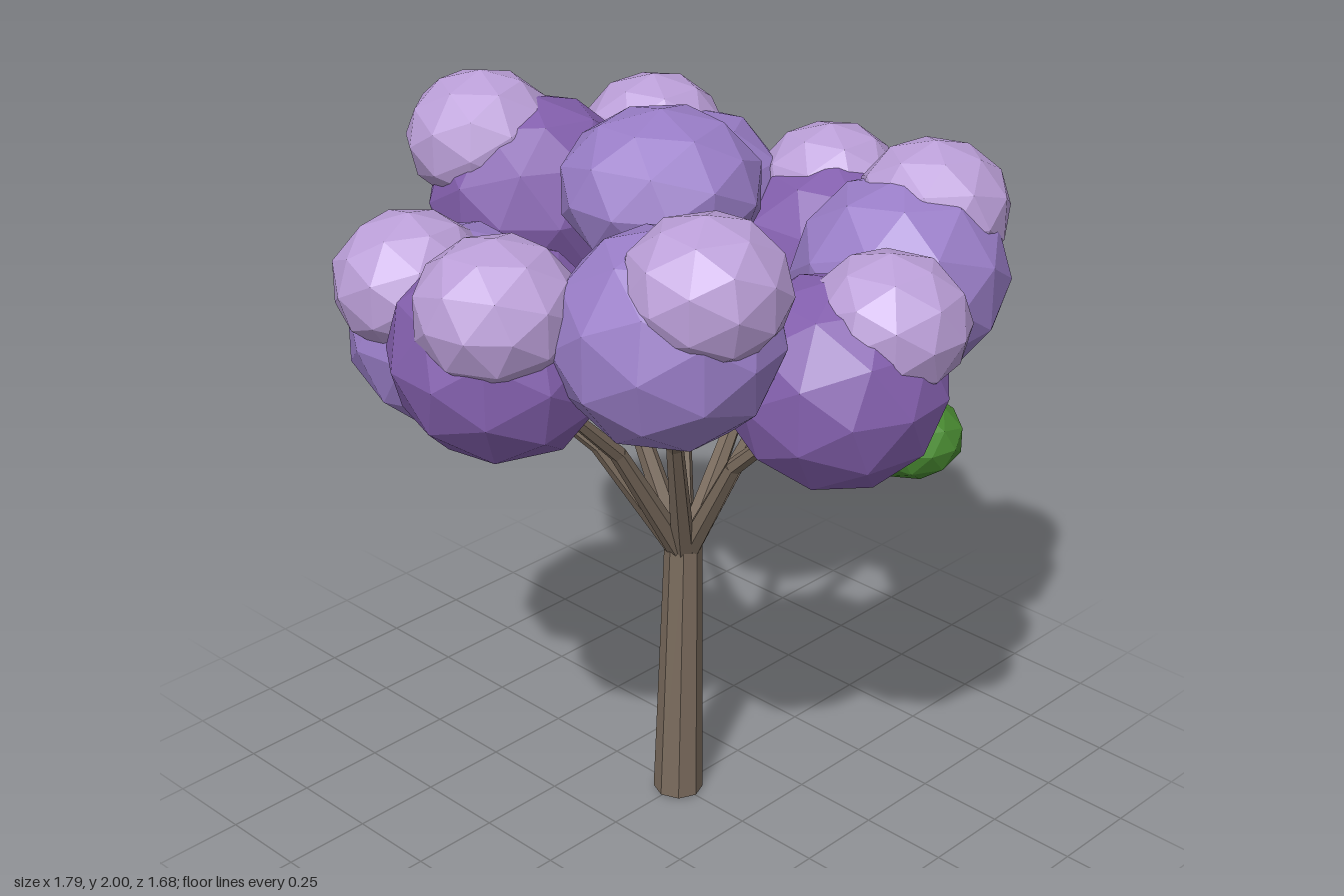
import * as THREE from 'three';

const mat = (color) => {
  const m = new THREE.MeshStandardMaterial({ color, flatShading: true });
  return m;
};

export function createModel() {
  const tree = new THREE.Group();
  tree.name = 'tree';
  const bark = mat(0x7a6b5d), deep = mat(0x8460ae), mid = mat(0x9a7ec8);
  const pale = mat(0xbb9fd8), green = mat(0x4a8c32);

  // Faceted ball of foliage, slightly flattened and turned
  function blob(name, material, [x, y, z], r, ry, turn) {
    const mesh = new THREE.Mesh(new THREE.IcosahedronGeometry(r, 1), material);
    mesh.name = name;
    mesh.position.set(x, y, z);
    mesh.scale.y = ry / r;
    mesh.rotation.y = turn;
    tree.add(mesh);
  }

  // Tapered limb between two points
  function limb(name, a, b, r0, r1, sides) {
    const dir = b.clone().sub(a);
    const mesh = new THREE.Mesh(new THREE.CylinderGeometry(r1, r0, dir.length(), sides), bark);
    mesh.name = name;
    mesh.position.copy(a).addScaledVector(dir, 0.5);
    mesh.quaternion.setFromUnitVectors(new THREE.Vector3(0, 1, 0), dir.normalize());
    tree.add(mesh);
  }

  // Trunk, leaning a little
  const fork = new THREE.Vector3(0.02, 0.79, 0);
  limb('trunk', new THREE.Vector3(0, 0.003, 0), fork, 0.07, 0.052, 8);

  // Ring of eight clusters: main ball height, pale ball x and z
  const ring = [
    [1.455, 0.69, -0.09], [1.56, 0.545, 0.385], [1.455, 0.08, 0.63], [1.66, -0.43, 0.505],
    [1.56, -0.69, 0.08], [1.455, -0.55, -0.4], [1.66, -0.085, -0.645], [1.56, 0.43, -0.515],
  ];
  ring.forEach(([y, px, pz], i) => {
    const a = (i * Math.PI) / 4;
    const x = 0.605 * Math.cos(a), z = 0.54 * Math.sin(a);
    blob('blossomCluster', i % 2 ? mid : deep, [x, y, z], 0.287, 0.272, i * 0.7);
    blob('paleBlossom', pale, [px, y + 0.155, pz], 0.207, 0.183, i * 0.9);

    // Two-piece branch with a bend, ending inside the cluster
    const start = fork.clone().add(new THREE.Vector3(0.02 * Math.cos(a), -0.01, 0.02 * Math.sin(a)));
    const tip = new THREE.Vector3(x, y - 0.03, z);
    const bend = new THREE.Vector3(x * 0.37, 0.79 + (y - 0.79) * 0.46, z * 0.37);
    limb('lowerBranch', start, bend, 0.033, 0.023, 6);
    limb('upperBranch', bend, tip, 0.023, 0.014, 6);
  });

  // Crown ball in the middle
  blob('crownBlossom', mid, [0.035, 1.78, -0.095], 0.27, 0.212, 0.3);

  // Leaf tufts under three clusters
  [[0.75, 1.305, 0.13], [0.135, 1.305, 0.67], [-0.305, 1.305, -0.25]].forEach((p, i) =>
    blob('leafTuft', green, p, 0.135, 0.105, i * 1.1));

  return tree;
}
